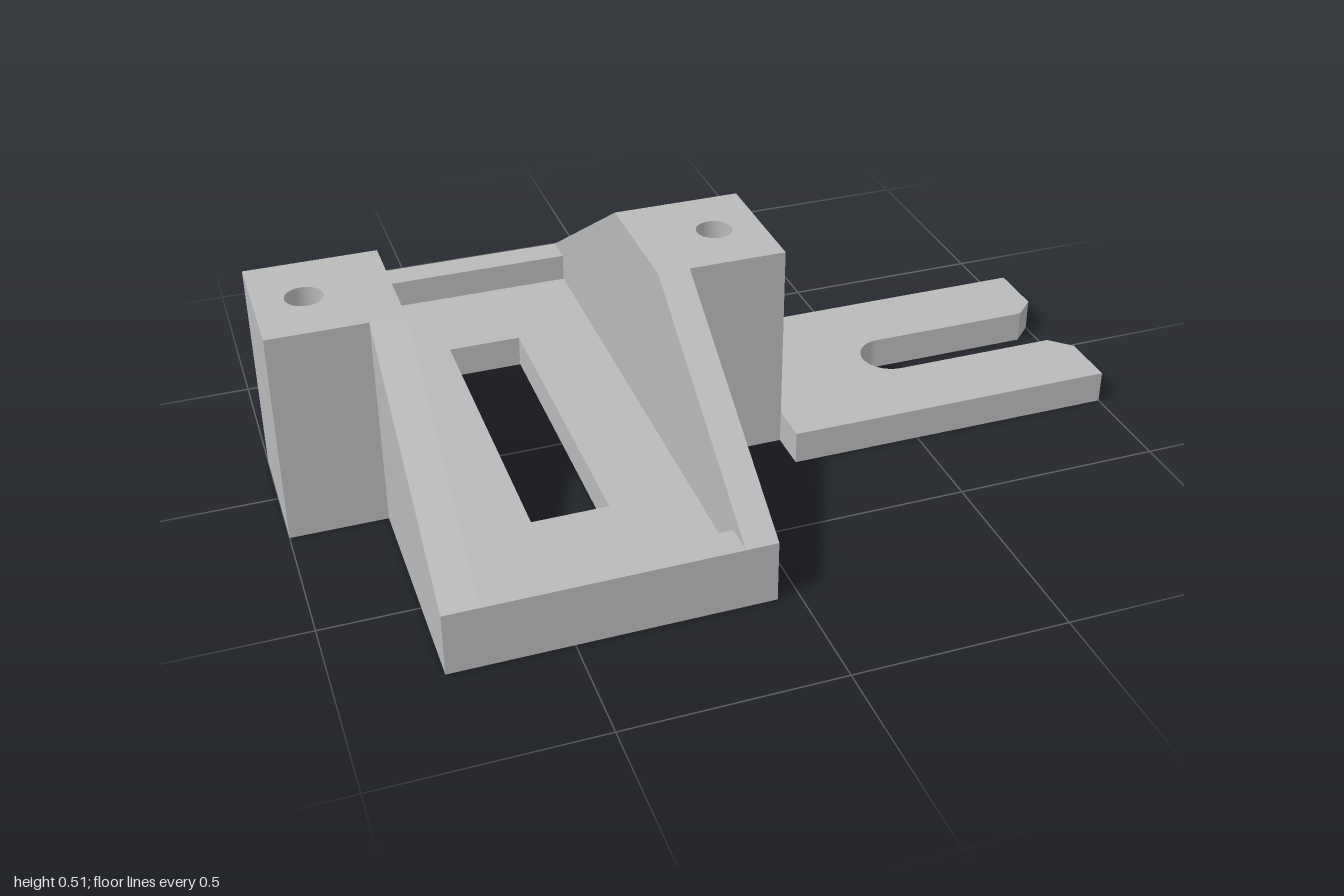
import * as THREE from 'three';

const WALL_X = [-0.775, -0.05];   // outer faces of the side walls
const WALL_T = 0.08, HALF_LEN = 0.725, TOP = 0.515, LIP = 0.15, FLOOR = 0.08;
const BLOCK_HALF = 0.16;

function polygon(points) {
  return new THREE.Shape(points.map(([x, y]) => new THREE.Vector2(x, y)));
}

function rect(x0, x1, halfZ) {
  return polygon([[x0, -halfZ], [x1, -halfZ], [x1, halfZ], [x0, halfZ]]);
}

// Extrudes a plan outline upward from y0 to y1
function plate(shape, y0, y1) {
  const g = new THREE.ExtrudeGeometry(shape, { depth: y1 - y0, bevelEnabled: false, curveSegments: 20 });
  return g.rotateX(-Math.PI / 2).translate(0, y0, 0);
}

export function createModel() {
  const model = new THREE.Group();
  model.name = 'slottedBracket';
  const grey = new THREE.MeshStandardMaterial({ color: 0xbababa });
  grey.name = 'grey';

  function add(name, geometry, parent = model) {
    const mesh = new THREE.Mesh(geometry, grey);
    mesh.name = name;
    parent.add(mesh);
  }

  const innerL = WALL_X[0] + WALL_T, innerR = WALL_X[1] - WALL_T + 0.005;

  // Floor with a rectangular window
  const floor = rect(innerL, innerR, HALF_LEN);
  floor.holes.push(rect(-0.5, -0.32, 0.388));
  add('floor', plate(floor, 0, FLOOR));

  // Raised lips at both ends of the floor
  for (const s of [-1, 1]) {
    const lip = new THREE.BoxGeometry(innerR - innerL, LIP - FLOOR, 0.075);
    lip.translate((innerL + innerR) / 2, (LIP + FLOOR) / 2, s * (HALF_LEN - 0.0375));
    add(s > 0 ? 'frontLip' : 'backLip', lip);
  }

  // Sloped side walls
  const profile = polygon([
    [-HALF_LEN, 0], [HALF_LEN, 0], [HALF_LEN, LIP],
    [BLOCK_HALF, TOP], [-BLOCK_HALF, TOP], [-HALF_LEN, LIP],
  ]);
  for (const [name, x0, x1] of [['rightWall', WALL_X[0], innerL], ['leftWall', innerR, WALL_X[1]]]) {
    const wall = new THREE.ExtrudeGeometry(profile, { depth: x1 - x0, bevelEnabled: false });
    add(name, wall.rotateY(Math.PI / 2).translate(x0, 0, 0));
  }

  // Screw blocks, each with a blind hole from the top
  const holeBottom = 0.2;
  for (const [name, x0, x1, holeX] of [
    ['rightScrewBlock', -1, WALL_X[0], -0.888],
    ['leftScrewBlock', WALL_X[1], 0.182, 0.067],
  ]) {
    const block = new THREE.Group();
    block.name = name;
    model.add(block);
    add('blockBase', plate(rect(x0, x1, BLOCK_HALF), 0, holeBottom), block);
    const upper = rect(x0, x1, BLOCK_HALF);
    upper.holes.push(new THREE.Path().absarc(holeX, 0, 0.043, 0, Math.PI * 2, true));
    add('blockTop', plate(upper, holeBottom, TOP), block);
  }

  // Forked tongue with a round-ended slot and chamfered mouth
  const fork = new THREE.Shape();
  fork.moveTo(0.182, -0.26);
  fork.lineTo(1, -0.26);
  fork.lineTo(1, -0.12);
  fork.lineTo(0.95, -0.072);
  fork.lineTo(0.54, -0.072);
  fork.absarc(0.54, 0, 0.072, -Math.PI / 2, Math.PI / 2, true);
  fork.lineTo(0.95, 0.072);
  fork.lineTo(1, 0.12);
  fork.lineTo(1, 0.26);
  fork.lineTo(0.182, 0.26);
  fork.closePath();
  add('forkedTongue', plate(fork, 0, 0.08));

  return model;
}
